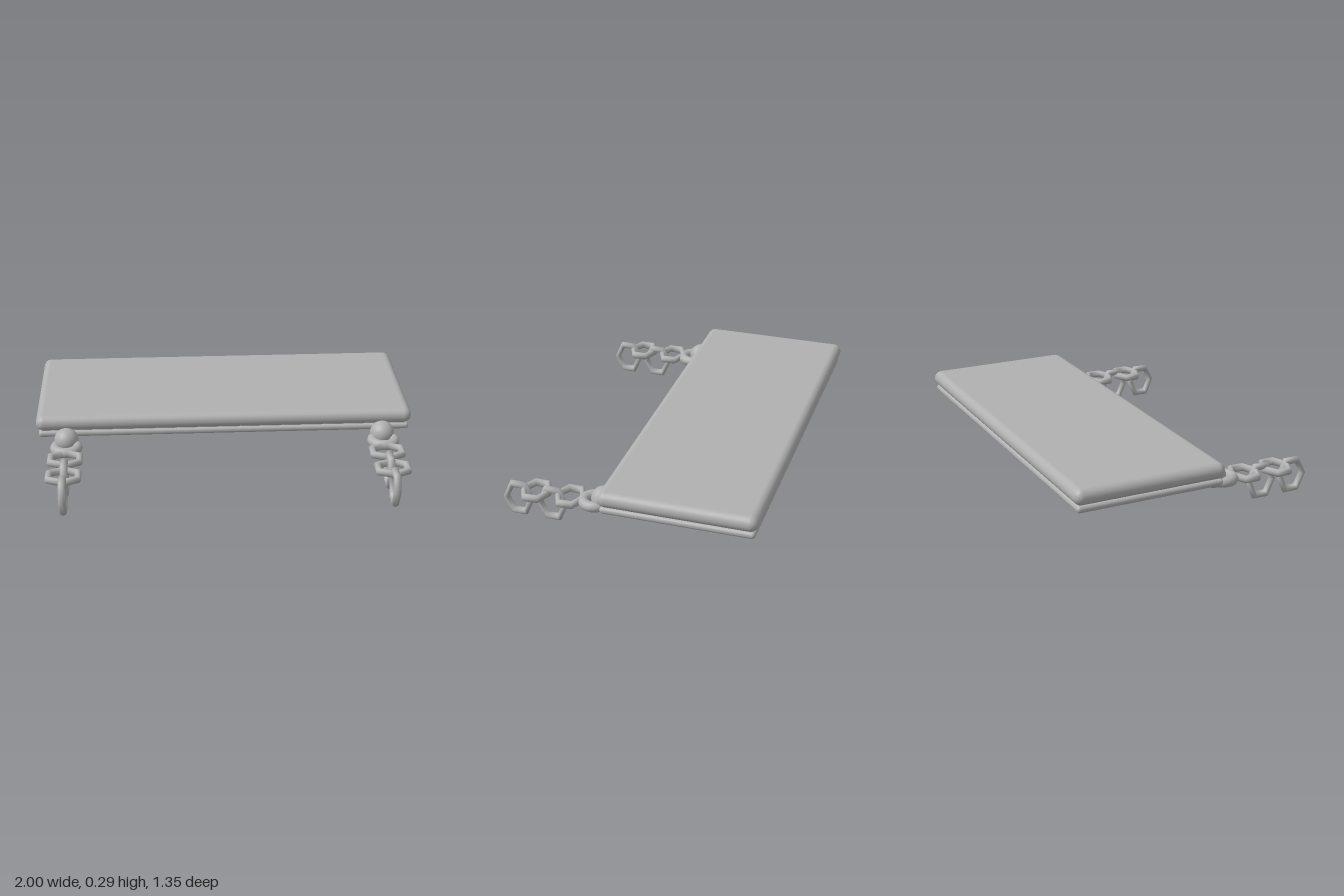
import * as THREE from 'three';
import { RoundedBoxGeometry } from 'three/addons/geometries/RoundedBoxGeometry.js';

export function createModel() {
  const model = new THREE.Group();
  model.name = 'hangingBoard';
  const metal = new THREE.MeshStandardMaterial({ color: 0xb0b0b0 });
  metal.name = 'grey';

  const add = (parent, name, geometry, x, y, z) => {
    const mesh = new THREE.Mesh(geometry, metal);
    mesh.name = name;
    mesh.position.set(x, y, z);
    parent.add(mesh);
    return mesh;
  };

  // Padded top slab
  const midZ = -0.275;
  add(model, 'topSlab', new RoundedBoxGeometry(2, 0.083, 0.8, 6, 0.041), 0, 0.2485, midZ);

  // Thin base panel inside a rounded rim
  add(model, 'basePanel', new THREE.BoxGeometry(1.94, 0.033, 0.75), 0, 0.1935, midZ);
  for (const s of [-1, 1]) {
    add(model, 'rimLong', new RoundedBoxGeometry(1.975, 0.036, 0.042, 4, 0.017), 0, 0.19, midZ + s * 0.367);
    add(model, 'rimShort', new RoundedBoxGeometry(0.042, 0.036, 0.776, 4, 0.017), s * 0.9665, 0.19, midZ);
  }

  // Six-sided chain link, standing upright with its points along z
  const linkGeometry = new THREE.TorusGeometry(0.0865, 0.02, 12, 6);
  linkGeometry.scale(0.78, 1, 1);
  linkGeometry.rotateY(Math.PI / 2);

  // Ball mount, ring and chain at each front corner
  for (const s of [-1, 1]) {
    const chain = new THREE.Group();
    chain.name = s > 0 ? 'leftChain' : 'rightChain';
    chain.position.x = s * 0.84;
    model.add(chain);

    add(chain, 'ballMount', new THREE.SphereGeometry(0.064, 32, 20), 0, 0.17, 0.137);
    const ring = new THREE.TorusGeometry(0.058, 0.027, 14, 32);
    ring.rotateX(Math.PI / 2);
    add(chain, 'ring', ring, 0, 0.147, 0.185);

    for (let i = 0; i < 2; i++) {
      const flat = add(chain, 'flatLink', linkGeometry, 0, 0.148, 0.315 + i * 0.182);
      flat.rotation.z = Math.PI / 2;
      add(chain, 'uprightLink', linkGeometry, 0, 0.0925, 0.412 + i * 0.181);
    }
  }
  return model;
}
